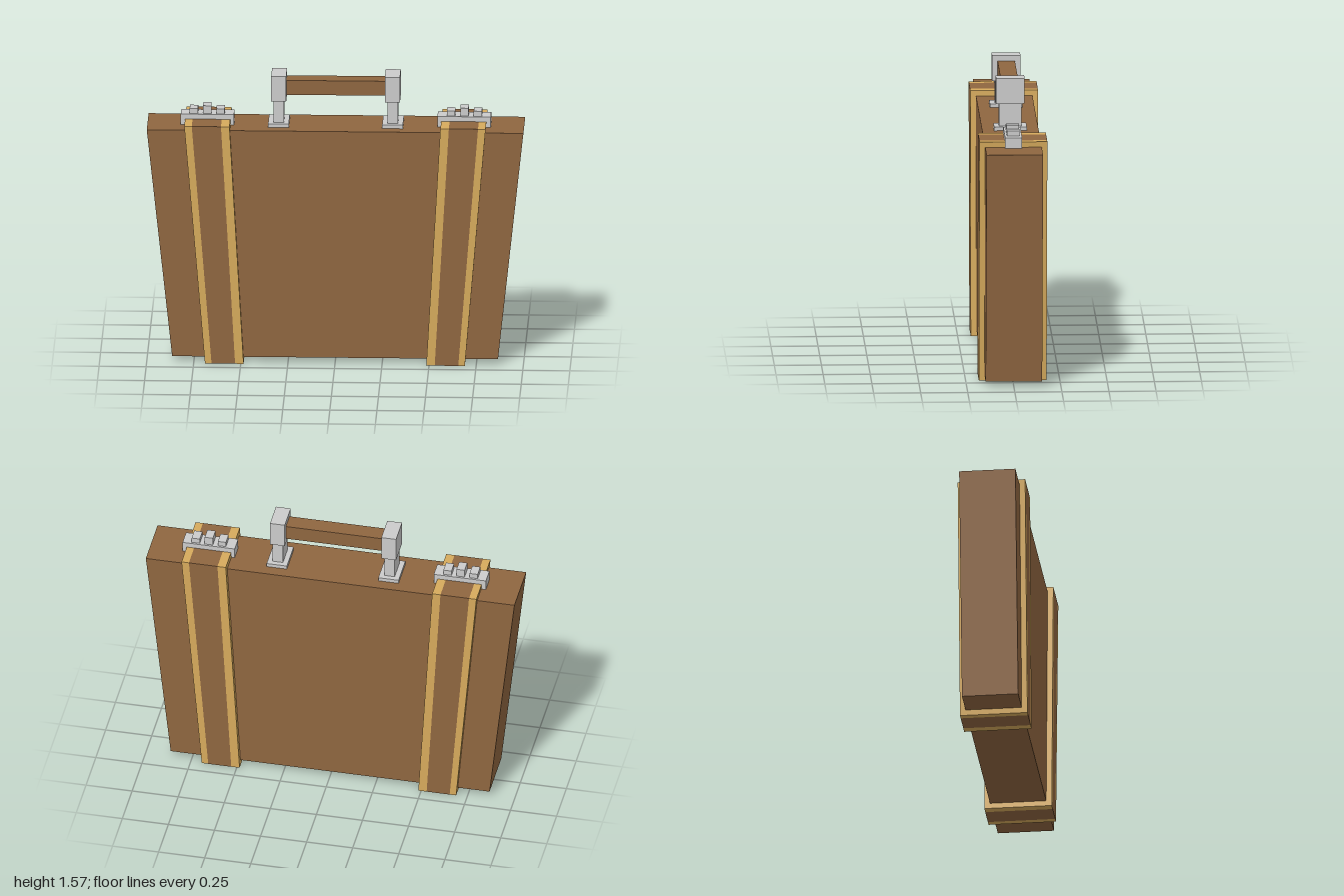
import * as THREE from 'three';

const material = (color) => new THREE.MeshStandardMaterial({ color, flatShading: true });

export function createModel() {
  const leather = material(0x8f6640);
  const trim = material(0xd6aa5c);
  const metal = material(0xcccccc);

  const model = new THREE.Group();
  model.name = 'briefcase';

  const add = (parent, name, geometry, mat) => {
    const mesh = new THREE.Mesh(geometry, mat);
    mesh.name = name;
    parent.add(mesh);
  };

  // Box given by its x and y limits and half depth
  const box = (x0, x1, y0, y1, halfDepth) =>
    new THREE.BoxGeometry(Math.abs(x1 - x0), y1 - y0, halfDepth * 2)
      .translate((x0 + x1) / 2, (y0 + y1) / 2, 0);

  // Prism whose x limits change from bottom to top
  const taper = (bottom, top, y0, y1, halfDepth) => {
    const shape = new THREE.Shape([
      new THREE.Vector2(bottom[0], y0),
      new THREE.Vector2(bottom[1], y0),
      new THREE.Vector2(top[1], y1),
      new THREE.Vector2(top[0], y1),
    ]);
    return new THREE.ExtrudeGeometry(shape, { depth: halfDepth * 2, bevelEnabled: false })
      .translate(0, 0, -halfDepth);
  };

  // Case
  add(model, 'caseBody', taper([-0.865, 0.865], [-1, 1], 0.03, 1.285, 0.15), leather);

  for (const s of [-1, 1]) {
    const side = s > 0 ? 'left' : 'right';
    const span = (a, b) => [s * a, s * b];

    // Slanted strap with a light border along each edge
    const strap = new THREE.Group();
    strap.name = side + 'Strap';
    add(strap, 'innerBorder', taper(span(0.485, 0.53), span(0.56, 0.605), 0, 1.315, 0.18), trim);
    add(strap, 'strapBand', taper(span(0.53, 0.655), span(0.605, 0.76), 0, 1.315, 0.18), leather);
    add(strap, 'outerBorder', taper(span(0.655, 0.69), span(0.76, 0.8), 0, 1.315, 0.18), trim);
    model.add(strap);

    // Latch with three dials, the middle one taller
    const latch = new THREE.Group();
    latch.name = side + 'Latch';
    add(latch, 'latchPlate', box(s * 0.54, s * 0.823, 1.28, 1.342, 0.045), metal);
    [0.612, 0.683, 0.754].forEach((x, i) => {
      const top = i === 1 ? 1.386 : 1.37;
      add(latch, 'latchDial', box(s * x - 0.022, s * x + 0.022, 1.335, top, 0.034), metal);
    });
    model.add(latch);

    // Handle support
    const support = new THREE.Group();
    support.name = side + 'HandleSupport';
    add(support, 'footPlate', box(s * 0.248, s * 0.358, 1.28, 1.305, 0.087), metal);
    add(support, 'post', box(s * 0.275, s * 0.331, 1.3, 1.43, 0.06), metal);
    add(support, 'cap', box(s * 0.262, s * 0.342, 1.427, 1.565, 0.076), metal);
    model.add(support);
  }

  // Grip
  add(model, 'handleGrip', box(-0.27, 0.27, 1.455, 1.535, 0.046), leather);

  return model;
}
